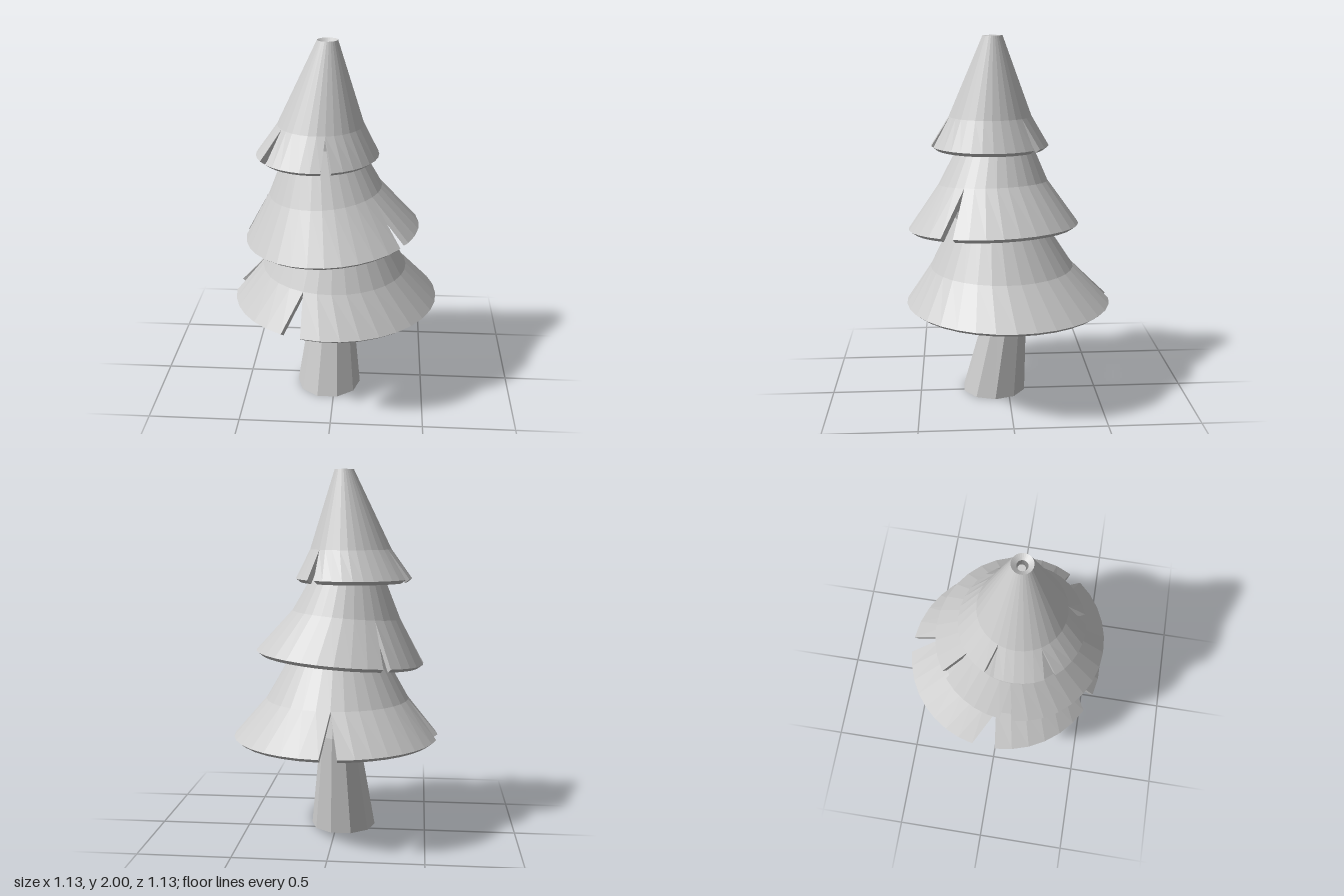
import * as THREE from 'three';

const SEGMENTS = 32;
const material = () => new THREE.MeshStandardMaterial({ color: 0xcccccc, flatShading: true });

// Point on a ring [x, y, z, radius] at an angle in degrees, tilted by slope [dy/dx, dy/dz].
function ringPoint([x, y, z, r], degrees, slope = [0, 0], inner = false) {
  const a = THREE.MathUtils.degToRad(degrees);
  const radius = inner ? r - 0.026 : r;
  const dx = Math.cos(a) * radius, dz = Math.sin(a) * radius;
  return [x + dx, y + dx * slope[0] + dz * slope[1] - (inner ? 0.02 : 0), z + dz];
}

function quadMesh(name, quads) {
  const positions = [];
  for (const [a, b, c, d] of quads) positions.push(...a, ...b, ...c, ...a, ...c, ...d);
  const geometry = new THREE.BufferGeometry();
  geometry.setAttribute('position', new THREE.Float32BufferAttribute(positions, 3));
  geometry.computeVertexNormals();
  const mesh = new THREE.Mesh(geometry, material());
  mesh.name = name;
  return mesh;
}

// Hollow skirt of branches: rings run rim, middle, top.
// Each notch [start, apex, end] opens the rim and closes at the middle ring.
function foliageTier(name, rings, notches, slope) {
  const quads = [];
  notches.forEach((notch, i) => {
    const next = notches[(i + 1) % notches.length];
    const turn = i === notches.length - 1 ? 360 : 0;
    const spans = [
      [notch[2], next[0] + turn],
      [notch[1], next[1] + turn],
      [notch[1], next[1] + turn],
    ];
    const steps = Math.max(2, Math.round((spans[1][1] - spans[1][0]) / 360 * SEGMENTS));
    const point = (row, step, inner) =>
      ringPoint(rings[row], THREE.MathUtils.lerp(...spans[row], step / steps), slope, inner);

    for (let s = 0; s < steps; s++) {
      for (let row = 0; row < 2; row++) {
        const face = (inner) => [
          point(row, s, inner), point(row + 1, s, inner),
          point(row + 1, s + 1, inner), point(row, s + 1, inner),
        ];
        quads.push(face(false), face(true).reverse());
      }
      // thickness at the rim and at the top opening
      quads.push([point(0, s, false), point(0, s + 1, false), point(0, s + 1, true), point(0, s, true)]);
      quads.push([point(2, s, false), point(2, s, true), point(2, s + 1, true), point(2, s + 1, false)]);
    }
    // cut walls on both sides of the piece
    const wall = (s) => [point(0, s, false), point(0, s, true), point(1, s, true), point(1, s, false)];
    quads.push(wall(0), wall(steps).reverse());
  });
  return quadMesh(name, quads);
}

// Bent, tapering trunk with flat ends
function trunk(rings, sides) {
  const quads = [];
  const step = 360 / sides;
  const first = rings[0], last = rings[rings.length - 1];
  for (let i = 0; i < sides; i++) {
    const a = i * step, b = a + step;
    for (let k = 0; k < rings.length - 1; k++) {
      quads.push([
        ringPoint(rings[k], a), ringPoint(rings[k + 1], a),
        ringPoint(rings[k + 1], b), ringPoint(rings[k], b),
      ]);
    }
    const bottom = first.slice(0, 3), top = last.slice(0, 3);
    quads.push([bottom, ringPoint(first, a), ringPoint(first, b), bottom]);
    quads.push([top, ringPoint(last, b), ringPoint(last, a), top]);
  }
  return quadMesh('trunk', quads);
}

export function createModel() {
  const tree = new THREE.Group();
  tree.name = 'tree';

  tree.add(trunk([
    [-0.035, 0, 0.08, 0.18],
    [-0.02, 0.54, 0, 0.108],
    [-0.05, 1.05, 0.06, 0.075],
    [-0.037, 1.95, 0.077, 0.02],
  ], 10));

  tree.add(foliageTier('lowerFoliage',
    [[0, 0.55, 0, 0.565], [-0.005, 0.75, 0.035, 0.395], [-0.005, 1.03, 0.06, 0.235]],
    [[105.6, 111, 117], [177.5, 184, 191.2], [264, 270, 273.5]],
    [0, 0]));

  tree.add(foliageTier('middleFoliage',
    [[-0.015, 0.975, 0.08, 0.467], [-0.05, 1.21, 0.08, 0.3], [-0.07, 1.47, 0.065, 0.175]],
    [[28.8, 32.6, 37.9], [176.3, 180, 184.8], [230.6, 235, 236.3]],
    [0.08, -0.03]));

  tree.add(foliageTier('upperFoliage',
    [[-0.09, 1.41, 0.095, 0.322], [-0.073, 1.57, 0.093, 0.225], [-0.037, 2, 0.08, 0.053]],
    [[73, 79.7, 82.9], [140, 147.3, 151], [196.8, 202.7, 206.6], [306.9, 314, 316.2]],
    [0, 0]));

  return tree;
}
